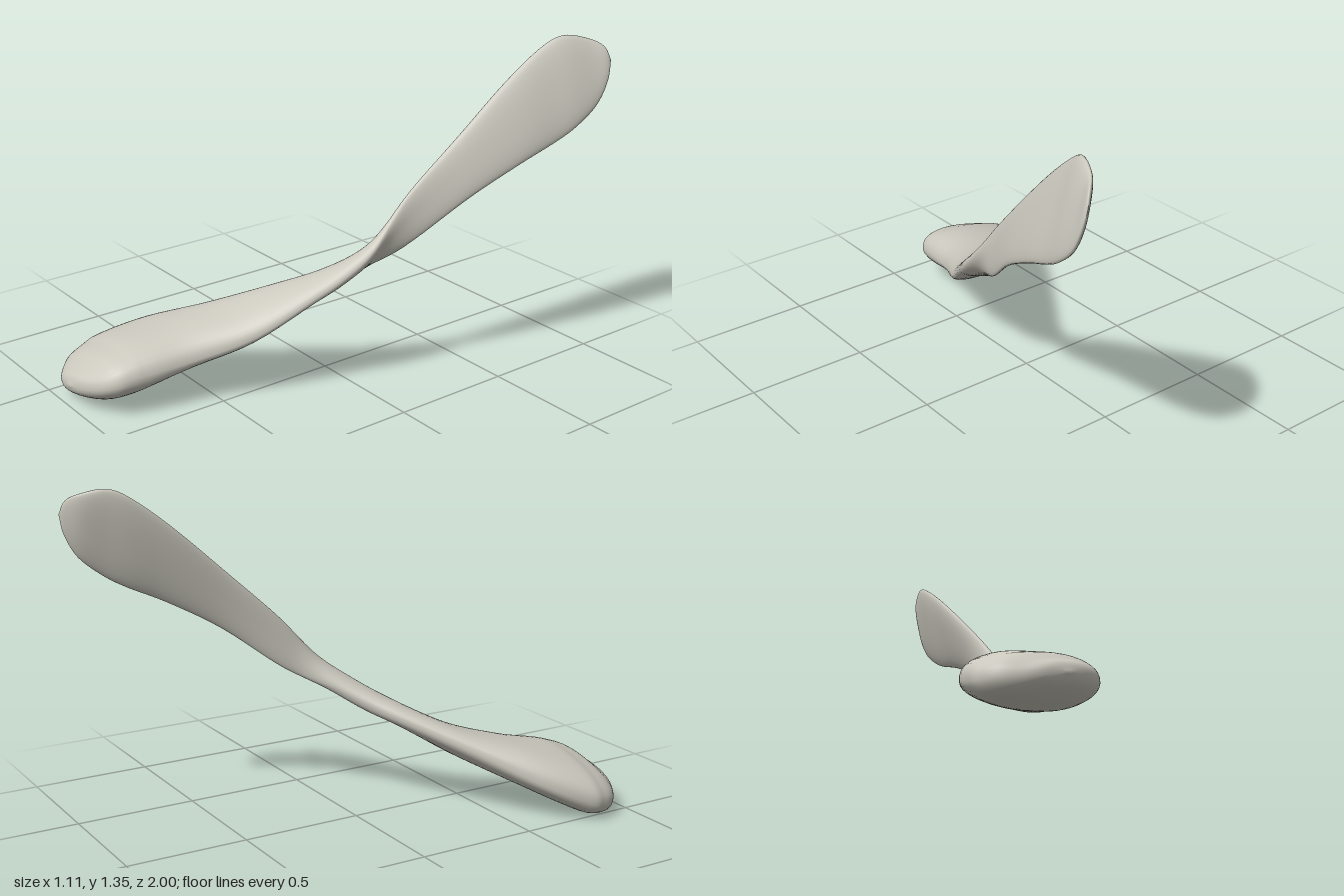
import * as THREE from 'three';
import { mergeVertices } from 'three/addons/utils/BufferGeometryUtils.js';

// Sections along the twisted body:
// z, low edge x, y, high edge x, y, thickness above and below the chord
const SECTIONS = [
  [1.0, -0.32, 0.105, -0.32, 0.105, 0, 0],
  [0.985, -0.41, 0.085, -0.23, 0.13, 0.035, 0.035],
  [0.95, -0.475, 0.07, -0.15, 0.15, 0.06, 0.06],
  [0.90, -0.53, 0.065, -0.10, 0.17, 0.09, 0.085],
  [0.84, -0.553, 0.07, -0.077, 0.183, 0.105, 0.095],
  [0.77, -0.55, 0.09, -0.06, 0.19, 0.118, 0.09],
  [0.60, -0.455, 0.17, -0.015, 0.215, 0.11, 0.062],
  [0.40, -0.26, 0.285, 0.09, 0.29, 0.073, 0.052],
  [0.20, -0.055, 0.39, 0.197, 0.435, 0.05, 0.042],
  [0.10, 0.057, 0.44, 0.248, 0.515, 0.045, 0.042],
  [0.00, 0.16, 0.50, 0.28, 0.603, 0.036, 0.036],
  [-0.10, 0.248, 0.552, 0.278, 0.71, 0.024, 0.024],
  [-0.20, 0.30, 0.615, 0.287, 0.82, 0.02, 0.02],
  [-0.40, 0.392, 0.77, 0.328, 1.01, 0.025, 0.025],
  [-0.60, 0.46, 0.885, 0.362, 1.195, 0.028, 0.028],
  [-0.75, 0.498, 0.955, 0.394, 1.315, 0.028, 0.028],
  [-0.84, 0.522, 1.008, 0.426, 1.36, 0.027, 0.027],
  [-0.93, 0.54, 1.085, 0.47, 1.345, 0.022, 0.022],
  [-0.98, 0.545, 1.175, 0.515, 1.315, 0.013, 0.013],
  [-1.0, 0.54, 1.26, 0.54, 1.26, 0, 0],
];

// Smooth curve through one triple of columns
const curve = (pick) => new THREE.CatmullRomCurve3(
  SECTIONS.map((s) => new THREE.Vector3(...pick(s))), false, 'catmullrom', 0.5);

// Slightly squared wave, so the faces are flatter and the rims rounder
const squared = (v) => Math.sign(v) * Math.abs(v) ** 0.88;

function twistedBody(rings, sides) {
  const low = curve((s) => [s[1], s[2], s[0]]);
  const high = curve((s) => [s[3], s[4], s[0]]);
  const thick = curve((s) => [s[5], s[6], 0]);
  const pos = [], index = [];
  for (let i = 0; i <= rings; i++) {
    const l = low.getPoint(i / rings);
    const h = high.getPoint(i / rings);
    const t = thick.getPoint(i / rings);
    const mid = l.clone().add(h).multiplyScalar(0.5);
    const half = h.clone().sub(l).multiplyScalar(0.5);
    const up = new THREE.Vector3(-half.y, half.x, 0).normalize();
    for (let j = 0; j < sides; j++) {
      const a = (j / sides) * Math.PI * 2;
      const s = squared(Math.sin(a));
      const p = mid.clone().addScaledVector(half, squared(Math.cos(a)))
        .addScaledVector(up, s * Math.max(0, s > 0 ? t.x : t.y));
      pos.push(p.x, p.y, p.z);
      if (i < rings) {
        const k = (j + 1) % sides;
        const A = i * sides + j, B = i * sides + k;
        // The end rings are single points, so they need one triangle per side
        if (i < rings - 1) index.push(A, A + sides, B + sides);
        else index.push(A, A + sides, B);
        if (i > 0 && i < rings - 1) index.push(A, B + sides, B);
      }
    }
  }
  const g = new THREE.BufferGeometry();
  g.setAttribute('position', new THREE.Float32BufferAttribute(pos, 3));
  g.setIndex(index);
  const merged = mergeVertices(g, 1e-5);
  merged.computeVertexNormals();
  return merged;
}

export function createModel() {
  const group = new THREE.Group();
  group.name = 'twistedPaddle';
  const stone = new THREE.MeshStandardMaterial({ color: 0xcbc9be });
  stone.name = 'pale stone';
  // Thick spoon end twisting through a neck into a thin blade
  const body = new THREE.Mesh(twistedBody((SECTIONS.length - 1) * 5, 36), stone);
  body.name = 'paddleBody';
  group.add(body);
  return group;
}
